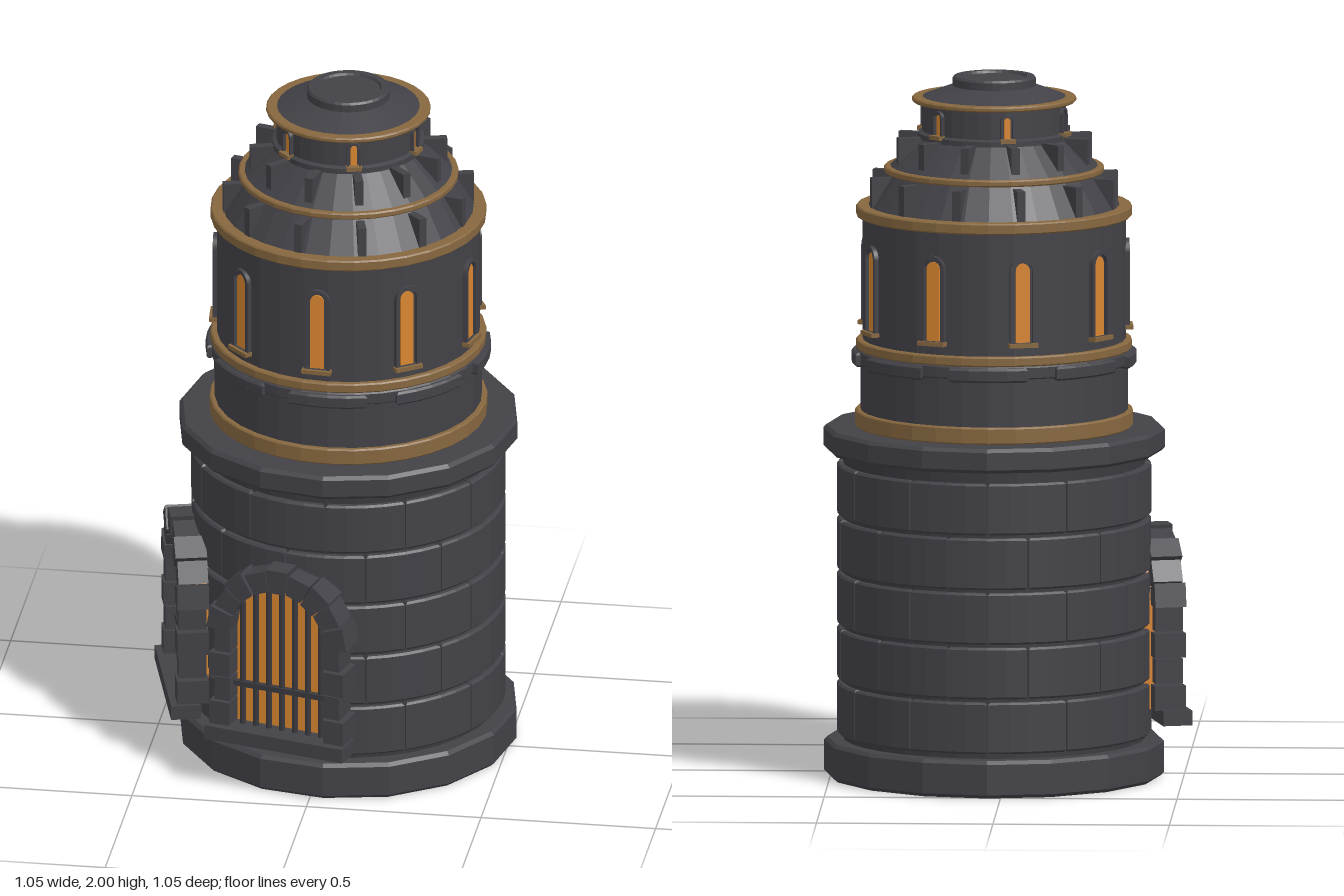
import * as THREE from 'three';

const mat = (name, color) => Object.assign(new THREE.MeshStandardMaterial({ color }), { name });
const V = (x, y) => new THREE.Vector2(x, y);
const rad = THREE.MathUtils.degToRad;

export function createModel() {
  const stone = mat('dark stone', 0x424147);
  const iron = mat('dark iron', 0x3a393e);
  const bronze = mat('bronze', 0x86673f);
  const glow = mat('amber glow', 0xd98630);

  const model = new THREE.Group();
  model.name = 'tower';
  const tower = new THREE.Group();
  tower.name = 'towerBody';
  tower.position.set(0.038, 0, -0.038);
  model.add(tower);

  const add = (parent, name, geometry, material, x = 0, y = 0, z = 0) => {
    const mesh = new THREE.Mesh(geometry, material);
    mesh.name = name;
    mesh.position.set(x, y, z);
    parent.add(mesh);
    return mesh;
  };

  // Faceted solid of revolution from [radius, height] pairs, bottom to top
  const turned = (name, material, profile, sides = 32) => {
    const g = new THREE.LatheGeometry(profile.map(p => V(p[0], p[1])), sides).toNonIndexed();
    g.computeVertexNormals();
    return add(tower, name, g, material);
  };
  const band = (name, material, r, y0, y1, sides = 32, b = 0.004) => turned(name, material,
    [[0, y0], [r - b, y0], [r, y0 + b], [r, y1 - b], [r - b, y1], [0, y1]], sides);

  // Curved block: a sector of a ring with slightly bevelled edges
  const arcBlock = (name, rIn, rOut, y0, y1, centre, span, bevel = 0.006) => {
    const pts = [];
    const steps = 4;
    const at = (r, i) => {
      const a = centre + span * (i / steps - 0.5);
      return V(r * Math.sin(a), -r * Math.cos(a));
    };
    for (let i = 0; i <= steps; i++) pts.push(at(rOut - bevel, i));
    for (let i = steps; i >= 0; i--) pts.push(at(rIn, i));
    const g = new THREE.ExtrudeGeometry(new THREE.Shape(pts), {
      depth: y1 - y0 - 2 * bevel, bevelEnabled: true, bevelSegments: 1,
      bevelSize: bevel, bevelThickness: bevel,
    });
    g.rotateX(-Math.PI / 2);
    return add(tower, name, g, stone, 0, y0 + bevel, 0);
  };

  // Round-headed outline with half width w
  const arch = (w, y0, spring, Type = THREE.Shape) => {
    const s = new Type();
    s.moveTo(-w, y0);
    s.lineTo(w, y0);
    s.lineTo(w, spring);
    s.absarc(0, spring, w, 0, Math.PI, false);
    s.lineTo(-w, y0);
    return s;
  };
  const extrude = (shape, depth) =>
    new THREE.ExtrudeGeometry(shape, { depth, bevelEnabled: false, curveSegments: 12 });

  // Group on the wall at an angle, its z pointing outwards
  const facing = (name, angle) => {
    const g = new THREE.Group();
    g.name = name;
    g.rotation.y = angle;
    tower.add(g);
    return g;
  };

  // Lower tower
  band('basePlinth', stone, 0.482, 0, 0.107, 16, 0.01);
  turned('lowerCore', iron, [[0.428, 0.1], [0.428, 0.94]], 32);
  band('lowerRim', stone, 0.484, 0.93, 1.0, 16, 0.01);
  for (let row = 0; row < 5; row++) {
    const y = 0.122 + row * 0.1565;
    for (let i = 0; i < 12; i++) {
      const a = rad(i * 30 + (row % 2 ? 0 : 15));
      arcBlock('wallBrick', 0.41, 0.445, y, y + 0.147, a, rad(28));
    }
  }

  // Upper drum with its bands
  band('lowerBronzeBand', bronze, 0.394, 1.0, 1.048);
  turned('upperDrum', stone, [[0.379, 1.04], [0.379, 1.2], [0.373, 1.24], [0.373, 1.61]]);
  band('collar', stone, 0.392, 1.185, 1.222);
  for (let i = 0; i < 8; i++) arcBlock('collarBlock', 0.38, 0.404, 1.178, 1.218, rad(i * 45), rad(31));
  band('middleBronzeBand', bronze, 0.391, 1.222, 1.25);
  band('upperBronzeBand', bronze, 0.391, 1.6, 1.632);

  // Stepped dome, lantern and cap
  turned('lowerDome', stone, [[0.357, 1.63], [0.29, 1.735]]);
  band('domeBronzeBand', bronze, 0.312, 1.725, 1.744);
  turned('upperDome', stone, [[0.295, 1.743], [0.2, 1.835]]);
  turned('lanternWall', stone, [[0.216, 1.825], [0.216, 1.84], [0.204, 1.845], [0.204, 1.935]]);
  band('lanternBronzeBand', bronze, 0.233, 1.927, 1.942);
  turned('lanternRoof', stone, [[0.205, 1.941], [0.115, 1.974]]);
  turned('cap', stone, [[0.112, 1.965], [0.118, 1.971], [0.118, 1.994], [0.113, 2],
    [0.094, 2], [0.09, 1.993], [0, 1.993]]);

  // Radial fins on both dome tiers
  for (let i = 0; i < 12; i++) {
    const g = facing('domeFins', rad(15 + i * 30));
    add(g, 'lowerFin', new THREE.BoxGeometry(0.024, 0.09, 0.07), stone, 0, 1.673, 0.322);
    add(g, 'upperFin', new THREE.BoxGeometry(0.024, 0.088, 0.085), stone, 0, 1.786, 0.238);
  }

  // Lancet windows: frame, glowing pane and bronze sill
  const lancet = (name, angle, r, y, w, h, frame, glass) => {
    const g = facing(name, angle);
    const shape = arch(w, y, y + h - w);
    shape.holes.push(arch(w - frame, y + frame, y + h - w, THREE.Path));
    add(g, 'windowFrame', extrude(shape, 0.022), stone, 0, 0, r - 0.012);
    add(g, 'windowPane', extrude(arch(glass, y + frame, y + h - w), 0.008), glow, 0, 0, r - 0.005);
    add(g, 'windowSill', new THREE.BoxGeometry(w * 2.2, 0.012, 0.03), bronze, 0, y + 0.004, r + 0.005);
  };
  for (let i = 0; i < 9; i++) lancet('drumWindow', rad(-5 + i * 40), 0.373, 1.278, 0.038, 0.255, 0.011, 0.02);
  for (let i = 0; i < 6; i++) lancet('lanternWindow', rad(13 + i * 60), 0.204, 1.838, 0.02, 0.08, 0.006, 0.009);

  // Barred arched gates
  const gate = angle => {
    const g = facing('gate', angle);
    const inner = 0.145, spring = 0.49, floor = 0.195;
    add(g, 'gateSill', new THREE.BoxGeometry(0.425, 0.042, 0.085), stone, 0, 0.174, 0.486);
    add(g, 'gateGlow', extrude(arch(inner + 0.01, floor, spring), 0.05), glow, 0, 0, 0.4);
    // Jamb stones, alternately wide and narrow
    for (const side of [-1, 1]) {
      for (let i = 0; i < 4; i++) {
        const w = i % 2 ? 0.048 : 0.062;
        add(g, 'jambStone', new THREE.BoxGeometry(w, 0.07, i % 2 ? 0.08 : 0.09), stone,
          side * (inner + w / 2), floor + 0.037 + i * 0.075, 0.465);
      }
    }
    // Arch stones
    const count = 9;
    for (let i = 0; i < count; i++) {
      const a0 = Math.PI * (i + 0.04) / count, a1 = Math.PI * (i + 0.96) / count;
      const outer = i % 2 ? 0.207 : 0.216;
      const s = new THREE.Shape([[inner, a0], [outer, a0], [outer, a1], [inner, a1]]
        .map(([r, a]) => V(r * Math.cos(a), spring + r * Math.sin(a))));
      add(g, 'archStone', extrude(s, i % 2 ? 0.085 : 0.09), stone, 0, 0, 0.42);
    }
    // Iron grille
    for (let i = -3; i <= 3; i++) {
      const x = i * 0.04;
      const h = spring - floor + Math.sqrt(inner * inner - x * x);
      add(g, 'gateBar', new THREE.CylinderGeometry(0.009, 0.009, h, 8), iron, x, floor + h / 2, 0.468);
    }
    add(g, 'gateCrossbar', new THREE.BoxGeometry(inner * 2, 0.016, 0.016), iron, 0, 0.32, 0.472);
  };
  gate(rad(-15));
  gate(rad(-75));

  return model;
}
